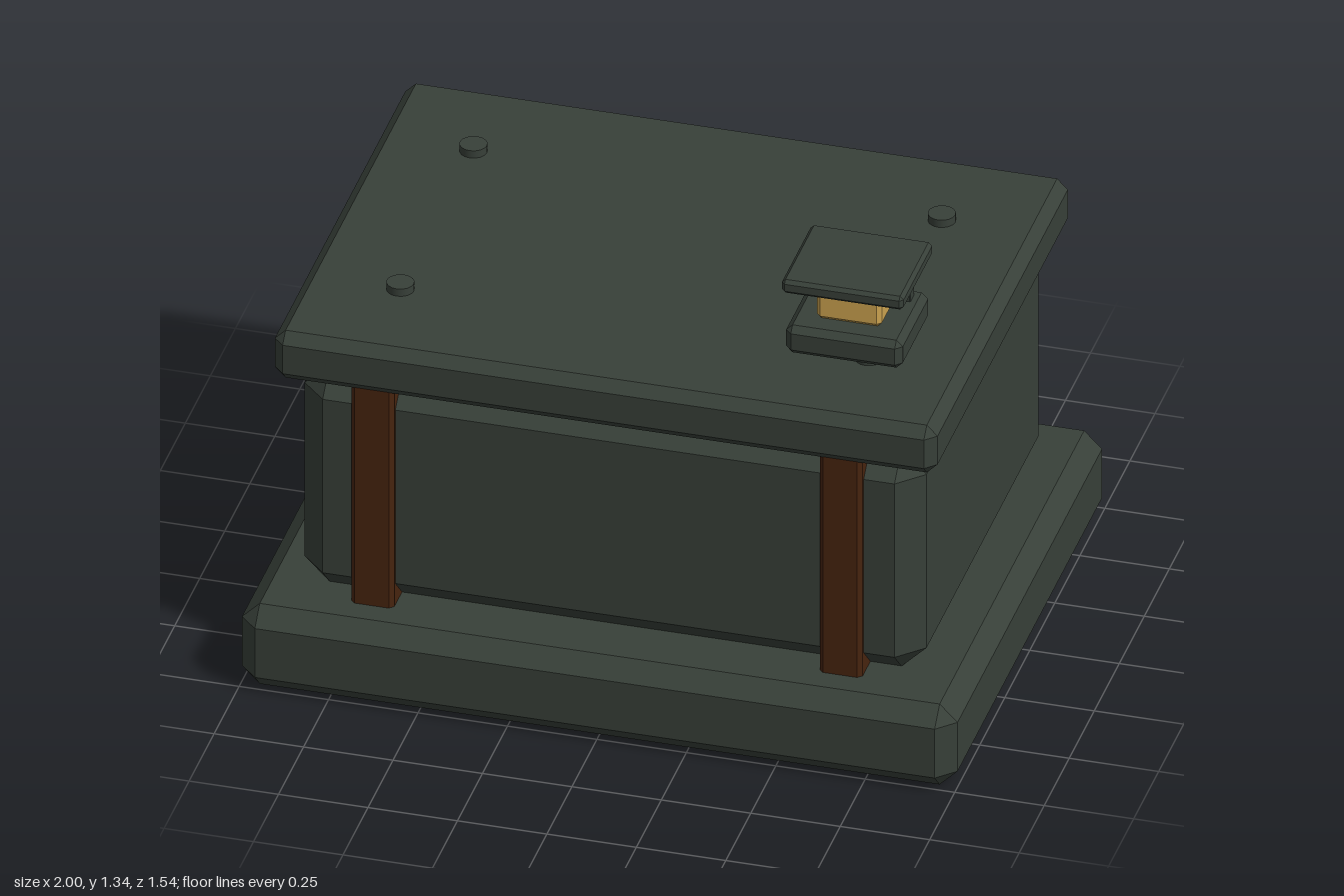
import * as THREE from 'three';
import { ConvexGeometry } from 'three/addons/geometries/ConvexGeometry.js';

const iron = new THREE.MeshStandardMaterial({ color: 0x384039 });
iron.name = 'dark green iron';
const rust = new THREE.MeshStandardMaterial({ color: 0x47240f });
rust.name = 'rust brown';
const brass = new THREE.MeshStandardMaterial({ color: 0xcca350 });
brass.name = 'brass';

// Box with every edge and corner cut off by c; spans are [min, max]
function chamferBox(name, material, [x0, x1], [y0, y1], [z0, z1], c) {
  const h = [(x1 - x0) / 2, (y1 - y0) / 2, (z1 - z0) / 2];
  const points = [];
  for (const sx of [-1, 1]) for (const sy of [-1, 1]) for (const sz of [-1, 1]) {
    for (let axis = 0; axis < 3; axis++) {
      const [x, y, z] = h.map((v, i) => (i === axis ? v : v - c));
      points.push(new THREE.Vector3(sx * x, sy * y, sz * z));
    }
  }
  const mesh = new THREE.Mesh(new ConvexGeometry(points), material);
  mesh.position.set((x0 + x1) / 2, (y0 + y1) / 2, (z0 + z1) / 2);
  mesh.name = name;
  return mesh;
}

export function createModel() {
  const model = new THREE.Group();
  model.name = 'strongbox';

  // Stacked slabs of the box
  model.add(
    chamferBox('base', iron, [-1, 1], [0, 0.255], [-0.772, 0.772], 0.05),
    chamferBox('body', iron, [-0.87, 0.868], [0.252, 0.942], [-0.63, 0.63], 0.07),
    chamferBox('lid', iron, [-0.928, 0.924], [0.937, 1.087], [-0.682, 0.68], 0.03),
  );

  // Corner posts, with a rivet on the lid above each
  for (const x of [-0.657, 0.652]) {
    for (const side of [-1, 1]) {
      const z = side * 0.592;
      model.add(chamferBox('post', rust, [x - 0.06, x + 0.06], [0.22, 0.97], [z - 0.06, z + 0.06], 0.012));
      const rivet = new THREE.Mesh(new THREE.CylinderGeometry(0.038, 0.038, 0.04, 16), iron);
      rivet.name = 'rivet';
      rivet.position.set(x, 1.09, side * 0.365);
      model.add(rivet);
    }
  }

  // Small lantern on the lid
  const lantern = new THREE.Group();
  lantern.name = 'lantern';
  lantern.add(
    chamferBox('lanternBase', iron, [0.436, 0.762], [1.105, 1.192], [0.148, 0.436], 0.018),
    chamferBox('lanternCore', brass, [0.506, 0.688], [1.192, 1.303], [0.212, 0.374], 0.012),
    chamferBox('lanternRoof', iron, [0.429, 0.769], [1.302, 1.344], [0.14, 0.445], 0.01),
  );
  for (const x of [0.483, 0.714]) {
    lantern.add(chamferBox('lanternPost', iron, [x - 0.014, x + 0.014], [1.18, 1.312], [0.182, 0.221], 0.003));
  }
  model.add(lantern);
  return model;
}
